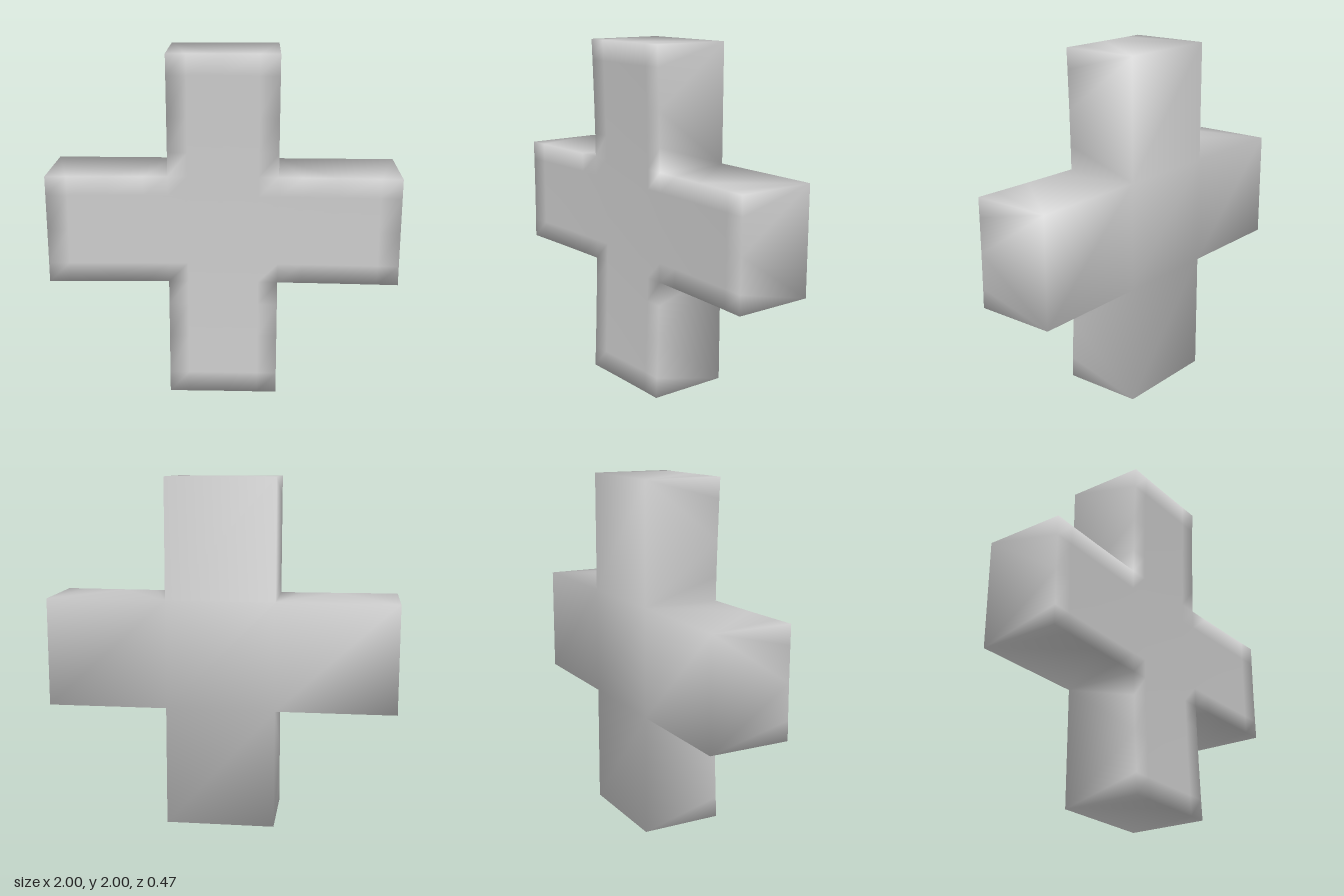
import * as THREE from 'three';

const C = 0.312; // half width of each arm
const BACK = -0.236;
const LINES = [-1, -0.88, -0.65, -0.45, -C, -0.2, 0, 0.2, C, 0.45, 0.65, 0.88, 1];

// The front is slightly dished: lowest in the middle, higher at the arm ends
const frontZ = (x, y) => 0.208 + 0.023 * (x * x + y * y) - 0.004 * y;

function createCross() {
  const positions = [], index = [], ids = new Map();
  const vertex = (x, y, front) => {
    const key = `${x},${y},${front}`;
    if (!ids.has(key)) {
      ids.set(key, positions.length / 3);
      positions.push(x, y + 1, front ? frontZ(x, y) : BACK);
    }
    return ids.get(key);
  };
  const quad = (a, b, c, d) => index.push(a, b, c, a, c, d);

  // Fill a grid over the plus shape; the back is seen from the other side
  const fill = (lines, front) => {
    for (let i = 0; i < lines.length - 1; i++) {
      for (let j = 0; j < lines.length - 1; j++) {
        const [x0, x1, y0, y1] = [lines[i], lines[i + 1], lines[j], lines[j + 1]];
        if (Math.abs(x0 + x1) / 2 > C && Math.abs(y0 + y1) / 2 > C) continue;
        const q = [[x0, y0], [x1, y0], [x1, y1], [x0, y1]].map(([x, y]) => vertex(x, y, front));
        if (!front) q.reverse();
        quad(...q);
      }
    }
  };
  fill(LINES, true);
  fill([-1, -C, C, 1], false);

  // Side walls: each joins a row of front points to two back corners
  const outline = [[1, -C], [1, C], [C, C], [C, 1], [-C, 1], [-C, C],
    [-1, C], [-1, -C], [-C, -C], [-C, -1], [C, -1], [C, -C]];
  outline.forEach(([ax, ay], i) => {
    const [bx, by] = outline[(i + 1) % outline.length];
    const along = ax === bx ? [ay, by] : [ax, bx];
    const row = LINES.filter((v) => v >= Math.min(...along) && v <= Math.max(...along));
    if (along[0] > along[1]) row.reverse();
    const p = row.map((v) => (ax === bx ? vertex(ax, v, true) : vertex(v, ay, true)));
    const b0 = vertex(ax, ay, false), b1 = vertex(bx, by, false);
    const mid = Math.floor(p.length / 2);
    for (let k = 0; k < p.length - 1; k++) index.push(p[k], k < mid ? b0 : b1, p[k + 1]);
    index.push(p[mid], b0, b1);
  });

  const geometry = new THREE.BufferGeometry();
  geometry.setAttribute('position', new THREE.Float32BufferAttribute(positions, 3));
  geometry.setIndex(index);
  geometry.computeVertexNormals(); // shared corners give soft shading over the edges
  return geometry;
}

export function createModel() {
  const group = new THREE.Group();
  group.name = 'plusBlock';
  const cross = new THREE.Mesh(createCross(), new THREE.MeshStandardMaterial({ color: 0xcccccc }));
  cross.name = 'crossBody';
  group.add(cross);
  return group;
}
